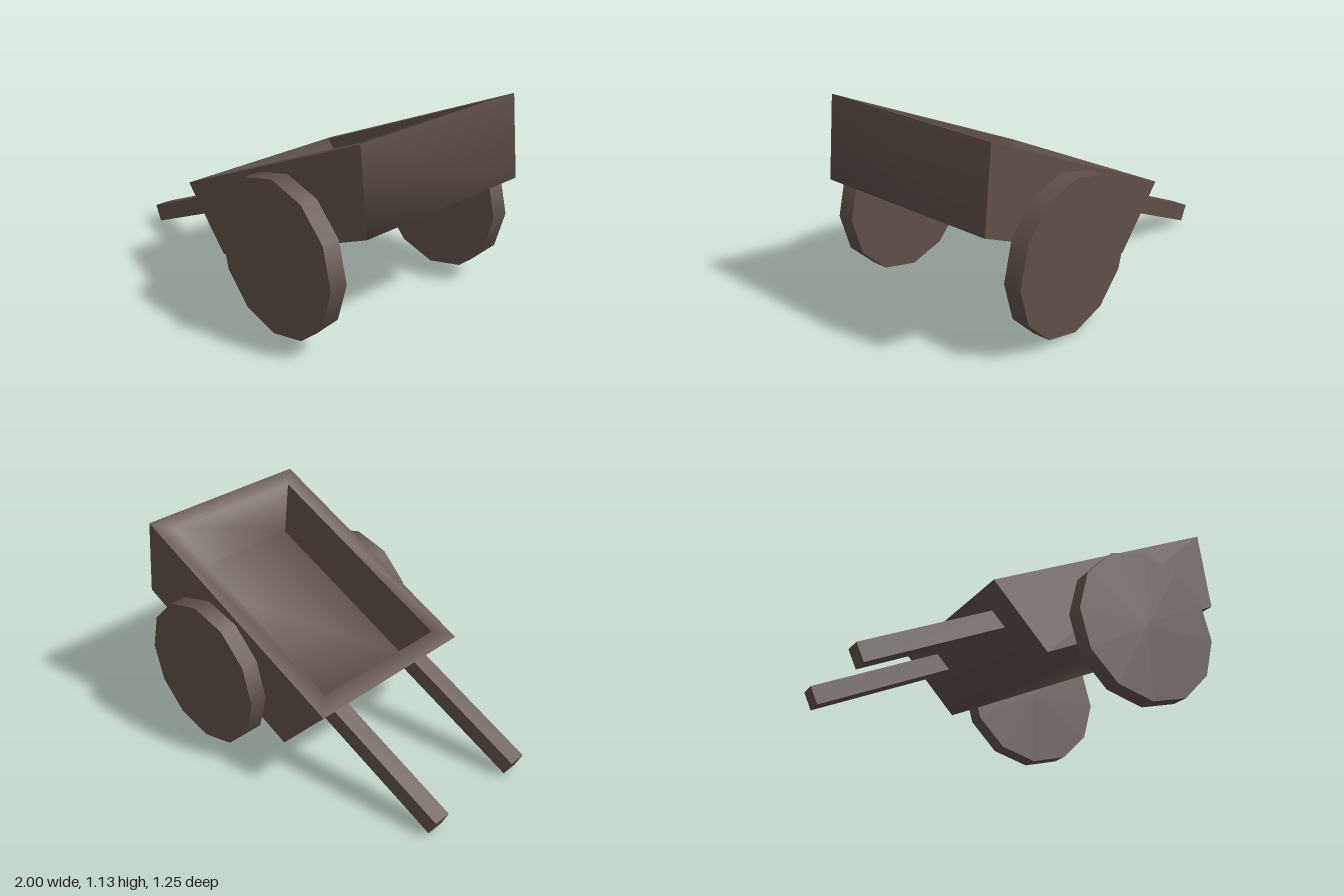
import * as THREE from 'three';
import { toCreasedNormals } from 'three/addons/utils/BufferGeometryUtils.js';

// Hollow tub from an outer and an inner side profile (clockwise, rim edge first)
function tubGeometry(outer, inner, w, iw) {
  const pos = [];
  const quad = (a, b, c, d) => pos.push(...a, ...b, ...c, ...a, ...c, ...d);
  const at = (profile, z) => profile.map(([x, y]) => [x, y, z]);
  const of = at(outer, w), ob = at(outer, -w);
  const nf = at(inner, iw), nb = at(inner, -iw);
  // side faces, outside and inside
  quad(of[3], of[2], of[1], of[0]);
  quad(...ob);
  quad(nb[3], nb[2], nb[1], nb[0]);
  quad(...nf);
  // end walls and floor
  for (let i = 1; i < 4; i++) {
    const j = (i + 1) % 4;
    quad(of[i], of[j], ob[j], ob[i]);
    quad(nb[i], nb[j], nf[j], nf[i]);
  }
  // rim around the opening
  const O = [of[0], of[1], ob[1], ob[0]];
  const I = [nf[0], nf[1], nb[1], nb[0]];
  for (let i = 0; i < 4; i++) {
    const j = (i + 1) % 4;
    quad(O[i], O[j], I[j], I[i]);
  }
  const g = new THREE.BufferGeometry();
  g.setAttribute('position', new THREE.Float32BufferAttribute(pos, 3));
  return toCreasedNormals(g, 1.4);
}

export function createModel() {
  const model = new THREE.Group();
  model.name = 'handcart';
  const wood = new THREE.MeshStandardMaterial({ color: 0x5f5049 });
  wood.name = 'darkWood';

  const add = (name, geometry, x = 0, y = 0, z = 0) => {
    const mesh = new THREE.Mesh(geometry, wood);
    mesh.name = name;
    mesh.position.set(x, y, z);
    model.add(mesh);
    return mesh;
  };

  // Tilted tub
  add('tub', tubGeometry(
    [[-0.38, 0.51], [0.945, 1.13], [1.0, 0.695], [-0.08, 0.19]],
    [[-0.29, 0.552], [0.855, 1.088], [0.896, 0.762], [-0.065, 0.312]],
    0.522, 0.42));

  // Handles reach from the ground end into the low end wall
  const start = new THREE.Vector2(-0.977, 0.06);
  const end = new THREE.Vector2(-0.23, 0.407);
  const mid = start.clone().lerp(end, 0.5);
  const handle = new THREE.BoxGeometry(start.distanceTo(end), 0.1, 0.1);

  // Twelve-sided wheels
  const wheel = new THREE.CylinderGeometry(0.418, 0.418, 0.098, 12).rotateX(Math.PI / 2);

  for (const [side, s] of [['front', 1], ['back', -1]]) {
    add(side + 'Wheel', wheel, 0.465, 0.42, s * 0.576);
    add(side + 'Handle', handle, mid.x, mid.y, s * 0.315).rotation.z =
      end.clone().sub(start).angle();
  }
  return model;
}
